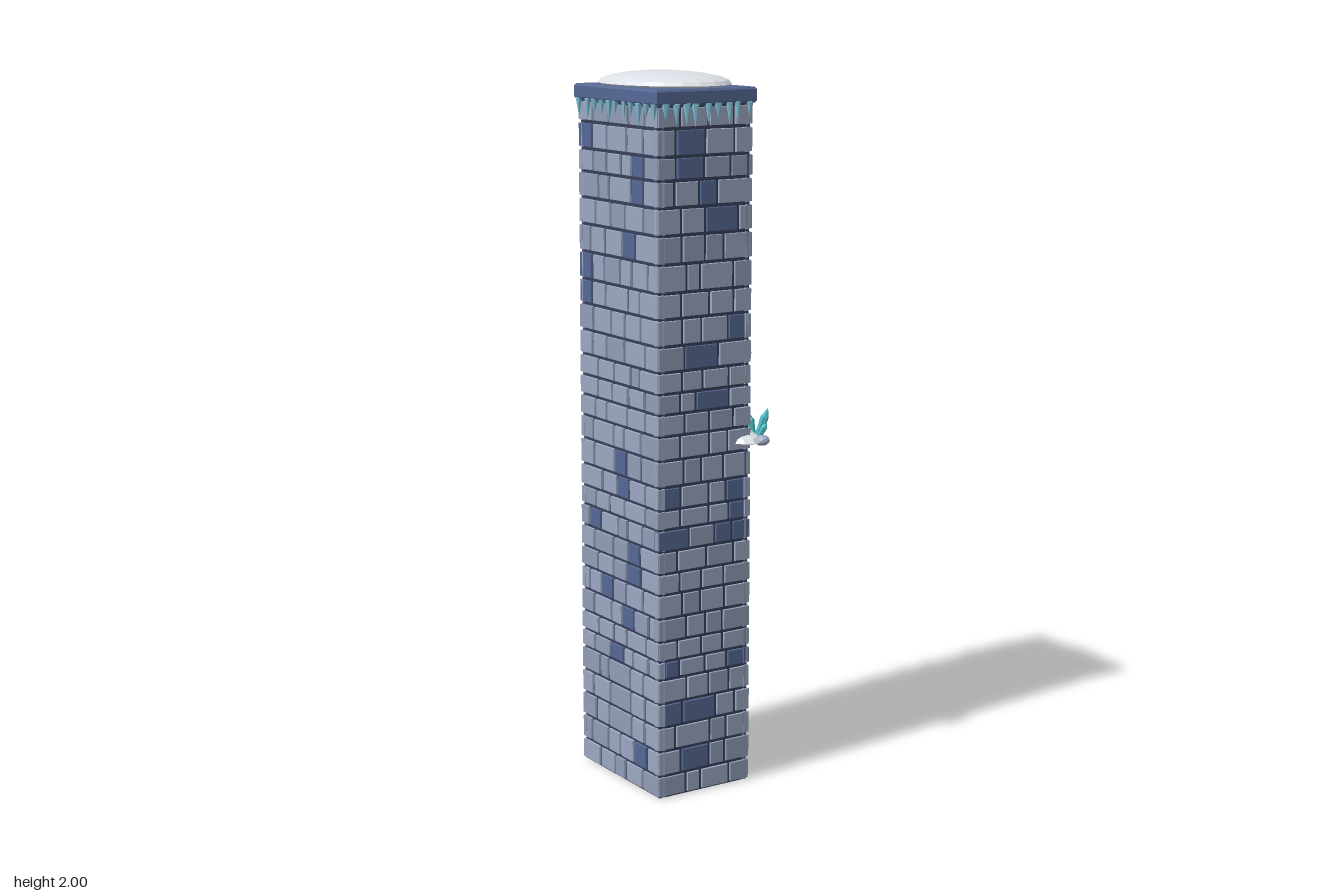
import * as THREE from 'three';
import { mergeGeometries } from 'three/addons/utils/BufferGeometryUtils.js';

const mat = (name, color) => Object.assign(new THREE.MeshStandardMaterial({ color, flatShading: true }), { name });

export function createModel() {
  const M = {
    mortar: mat('mortar', 0x38415a), stone: mat('stone', 0x9ca9c2), stoneDull: mat('dullStone', 0x919eb8),
    blue: mat('blueStone', 0x566894), snow: mat('snow', 0xdfe4ea), ice: mat('ice', 0x84c6de),
    crystal: mat('crystal', 0x4cc0c4), crack: mat('crack', 0x16181f), rock: mat('rock', 0xa3afc8),
  };
  const root = new THREE.Group();
  const CX = -0.033, HX = 0.153, HZ = 0.206;
  let seed = 7;
  const rnd = () => (seed = (seed * 16807) % 2147483647) / 2147483647;

  function add(parent, name, geo, material, x = 0, y = 0, z = 0) {
    const m = new THREE.Mesh(geo, material);
    m.name = name;
    m.position.set(x, y, z);
    parent.add(m);
    return m;
  }
  // Box whose outer (+z) face is drawn in, giving chamfered edges
  function block(w, h, d, inset) {
    const g = new THREE.BoxGeometry(w, h, d), p = g.attributes.position;
    for (let i = 0; i < p.count; i++) if (p.getZ(i) > 0) {
      p.setX(i, p.getX(i) - Math.sign(p.getX(i)) * inset);
      p.setY(i, p.getY(i) - Math.sign(p.getY(i)) * inset);
    }
    return g;
  }

  // Core, seen as the joints between stones
  add(root, 'mortarCore', new THREE.BoxGeometry(HX * 2 - 0.014, 1.925, HZ * 2 - 0.014), M.mortar, CX, 0.9625, 0);

  // Course boundaries from the ground up
  const rows = [0, 0.064, 0.136, 0.206, 0.275, 0.344, 0.397, 0.453, 0.519, 0.587, 0.646, 0.709, 0.77, 0.825, 0.889,
    0.963, 1.03, 1.09, 1.147, 1.206, 1.276, 1.35, 1.42, 1.497, 1.574, 1.648, 1.72, 1.783, 1.857, 1.916];
  // Blue stones: [course, start, end] across the wall
  const blueFront = [[1, -.078, .017], [3, -.136, -.073], [3, -.062, .038], [5, -.13, -.083], [5, .075, .133],
    [11, -.147, -.052], [11, .033, .091], [11, .097, .153], [12, .08, .133], [13, -.136, -.078], [13, .07, .133],
    [17, -.03, .08], [19, -.067, .043], [20, .075, .133], [24, 0, .107], [25, -.02, .038], [26, -.094, -.004],
    [27, -.094, 0]];
  const blueRight = [[1, -.185, -.075], [1, .04, .12], [3, -.165, -.095], [4, -.117, -.03], [5, -.196, -.13],
    [5, .117, .19], [6, .045, .11], [6, .12, .185], [7, .045, .11], [9, -.19, -.13], [9, -.12, -.03],
    [10, -.18, -.09], [14, -.196, -.153], [18, .12, .19], [23, -.04, .06], [26, -.206, -.15], [26, .05, .15],
    [27, .06, .12], [27, .127, .19]];
  function scatterBlue(half) {
    const list = [];
    for (let r = 1; r < 28; r++) if (rnd() < 0.6) {
      const a = (rnd() * 1.5 - 1) * half;
      list.push([r, a, a + 0.06 + rnd() * 0.015]);
    }
    return list;
  }

  const sides = [['front', 0, HX, HZ, blueFront], ['right', 1, HZ, HX, blueRight],
    ['back', 2, HX, HZ, scatterBlue(HX)], ['left', 3, HZ, HX, scatterBlue(HZ)]];
  const walls = {};
  for (const [name, turn, half, out, blues] of sides) {
    const wall = new THREE.Group();
    wall.name = name + 'Wall';
    wall.position.x = CX;
    wall.rotation.y = turn * Math.PI / 2;
    root.add(wall);
    walls[name] = wall;
    const sets = { stone: [], stoneDull: [], blue: [] };
    for (let r = 0; r < rows.length - 1; r++) {
      const h = rows[r + 1] - rows[r], y = rows[r] + h / 2;
      const lay = (a, b, kind) => {
        const g = block(b - a - 0.005, h - 0.005, 0.02, 0.003);
        g.translate((a + b) / 2, y, out - 0.01 - rnd() * 0.002);
        sets[kind].push(g);
      };
      // Fill a stretch of the course with uneven stones
      const fill = (a, b) => {
        const n = Math.max(1, Math.round((b - a) / 0.08 + (rnd() - 0.5) * 0.5)), step = (b - a) / n;
        let u = a;
        for (let i = 1; i <= n; i++) {
          const v = i < n ? a + step * (i + (rnd() - 0.5) * 0.5) : b;
          lay(u, v, rnd() < 0.25 ? 'stoneDull' : 'stone');
          u = v;
        }
      };
      let pos = -half - 0.002;
      for (const [, a, b] of blues.filter((s) => s[0] === r)) {
        const start = a - pos < 0.015 ? pos : a;
        if (start > pos) fill(pos, start);
        lay(start, b, 'blue');
        pos = b;
      }
      if (half - pos > 0.006) fill(pos, half + 0.002);
    }
    for (const k in sets) add(wall, name + '_' + k, mergeGeometries(sets[k]), M[k]);

    // Icicles hanging below the cap
    const spikes = [], count = Math.round(half * 2 / 0.036);
    for (let i = 0; i < count; i++) {
      const len = 0.035 + rnd() * 0.03;
      const g = new THREE.ConeGeometry(0.008 + rnd() * 0.004, len, 6);
      g.rotateX(Math.PI);
      g.translate(-half + half * 2 * (i + 0.3 + rnd() * 0.4) / count, 1.922 - len / 2, out + 0.004);
      spikes.push(g);
    }
    add(wall, name + 'Icicles', mergeGeometries(spikes), M.ice);
  }

  // Cap slab with chamfered upper and lower rims
  const capW = 0.319, capD = 0.425;
  const rim = (turn) => block(capW, capD, 0.006, 0.004).rotateX(turn);
  add(root, 'capSlab', new THREE.BoxGeometry(capW, 0.03, capD), M.blue, CX, 1.939, 0);
  add(root, 'capTopRim', rim(-Math.PI / 2), M.blue, CX, 1.957, 0);
  add(root, 'capBottomRim', rim(Math.PI / 2), M.blue, CX, 1.921, 0);

  // Snow heaps: domes with a nearly flat underside
  function heap(parent, name, x, y, z, rx, ry, rz, seg, rings) {
    const g = new THREE.SphereGeometry(1, seg, rings), p = g.attributes.position;
    for (let i = 0; i < p.count; i++) if (p.getY(i) < 0) p.setY(i, p.getY(i) * 0.3);
    g.scale(rx, ry, rz);
    return add(parent, name, g, M.snow, x, y, z);
  }
  heap(root, 'capSnow', CX, 1.966, 0, 0.167, 0.034, 0.22, 22, 10);
  heap(root, 'ledgeSnow', 0.108, 0.986, 0, 0.082, 0.04, 0.242, 20, 10);

  // Snow caught in the joints: [across the wall, height, half width]
  const patchesRight = [[-.17, 1.48, .025], [-.085, 1.475, .03], [.09, 1.41, .03], [.115, 1.36, .025], [.085, 1.655, .025],
    [.115, 1.6, .025], [.06, 1.5, .02], [-.17, 1.235, .03], [-.02, 1.285, .02], [.09, 1.2, .03], [.1, 1.28, .025],
    [.06, 1.345, .02], [.12, 1.45, .02], [.03, 1.16, .025], [.09, 1.55, .03], [-.12, 1.15, .02], [.12, 1.09, .02]];
  const patchesBack = [];
  for (let i = 0; i < 28; i++)
    patchesBack.push([(rnd() - 0.5) * 0.24, rows[15 + (i * 5) % 14] - 0.002, 0.02 + rnd() * 0.014]);
  const caught = [['right', HX, patchesRight], ['back', HZ, patchesBack]];
  for (const [name, out, list] of caught)
    list.forEach(([u, y, w]) => heap(walls[name], 'jointSnow', u, y - 0.003, out, w, 0.011, 0.015, 10, 6));

  // Zigzag cracks on the right wall
  const cracks = [
    [[-.18, 1.275], [-.165, 1.245], [-.15, 1.25], [-.135, 1.215], [-.12, 1.22], [-.11, 1.19]],
    [[-.04, 1.13], [-.02, 1.105], [0, 1.11], [.015, 1.08], [.04, 1.1]],
    [[0, 1.11], [-.005, 1.07], [.015, 1.045]],
    [[.08, 1.21], [.1, 1.19], [.11, 1.155]],
  ];
  for (const path of cracks) for (let i = 1; i < path.length; i++) {
    const [a, b] = path[i - 1], [c, d] = path[i];
    const m = add(walls.right, 'crack', new THREE.BoxGeometry(Math.hypot(c - a, d - b) + 0.004, 0.007, 0.006),
      M.crack, (a + c) / 2, (b + d) / 2, HX + 0.001);
    m.rotation.z = Math.atan2(d - b, c - a);
  }

  // Crystals on the ledge: six-sided shafts with pointed tips, rooted in the snow
  const profile = [[0, 0], [0.75, 0.05], [1, 0.7], [0, 1]].map(([x, y]) => new THREE.Vector2(x, y));
  function crystal(x, z, len, r, tiltX, tiltZ) {
    const g = new THREE.LatheGeometry(profile, 6);
    g.scale(r, len, r);
    add(root, 'crystal', g, M.crystal, x, 0.982, z).rotation.set(tiltX, 0, tiltZ);
  }
  const clusters = [[0.17, -0.132, -0.25], [0.176, 0, 0.25], [0.174, 0.15, 0.2]];
  for (const [x, z, lean] of clusters) {
    crystal(x - 0.004, z - lean * 0.04, 0.07, 0.012, -lean * 0.6, 0.12);
    crystal(x + 0.002, z + lean * 0.02, 0.09, 0.012, lean, -0.28);
    crystal(x + 0.002, z + lean * 0.05, 0.05, 0.009, lean * 1.8, -0.35);
  }

  // Loose rocks beside the ledge snow
  const rocks = [[0.157, 0.985, 0.205, 0.022], [0.162, 0.987, -0.168, 0.014]];
  for (const [x, y, z, r] of rocks)
    add(root, 'rock', new THREE.IcosahedronGeometry(r, 1), M.rock, x, y, z).scale.y = 0.7;
  return root;
}
